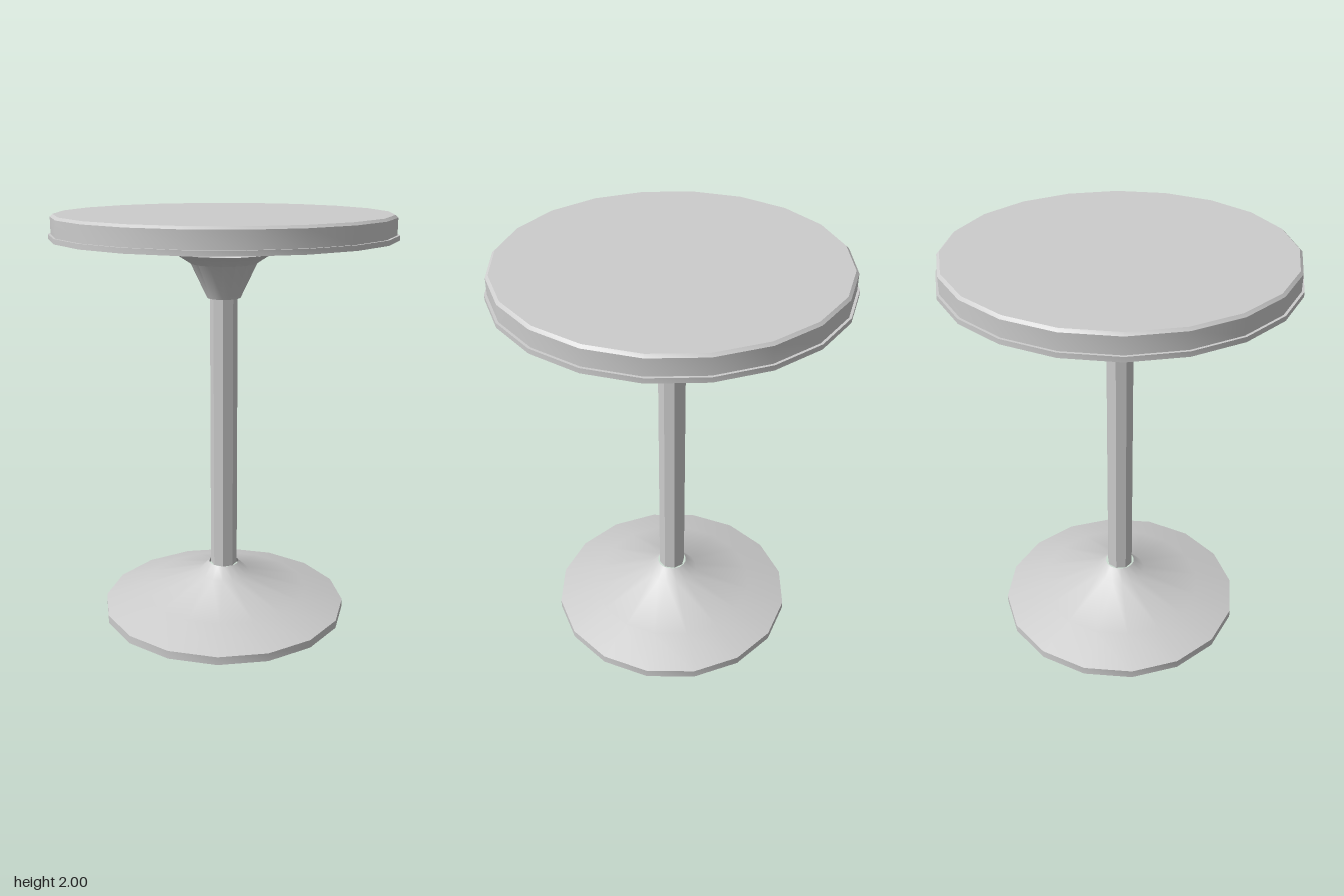
import * as THREE from 'three';
import { toCreasedNormals } from 'three/addons/utils/BufferGeometryUtils.js';

const metal = new THREE.MeshStandardMaterial({ color: 0xcccccc, side: THREE.DoubleSide });
metal.name = 'grey';

// Turned part from [radius, height] points listed bottom to top
function turned(name, points, sides) {
  const profile = points.map(([r, y]) => new THREE.Vector2(r, y));
  const geometry = toCreasedNormals(new THREE.LatheGeometry(profile, sides), 0.6);
  const mesh = new THREE.Mesh(geometry, metal);
  mesh.name = name;
  return mesh;
}

export function createModel() {
  const table = new THREE.Group();
  table.name = 'pedestalTable';

  // Closed disc with a thin lower lip and a small bevel on top
  table.add(turned('tableTop', [
    [0, 1.887], [0.81, 1.887], [0.81, 1.91], [0.798, 1.91],
    [0.798, 1.988], [0.785, 2], [0, 2],
  ], 20));

  // Open flared collar below the top
  table.add(turned('collar', [[0.08, 1.605], [0.158, 1.768], [0.235, 1.817]], 16));

  // Octagonal column
  table.add(turned('column', [[0.066, 0.24], [0.066, 1.61]], 8));

  // Hollow foot, open underneath
  table.add(turned('foot', [
    [0.612, 0], [0.612, 0.04], [0.42, 0.104], [0.13, 0.19], [0.075, 0.245],
  ], 16));

  return table;
}
